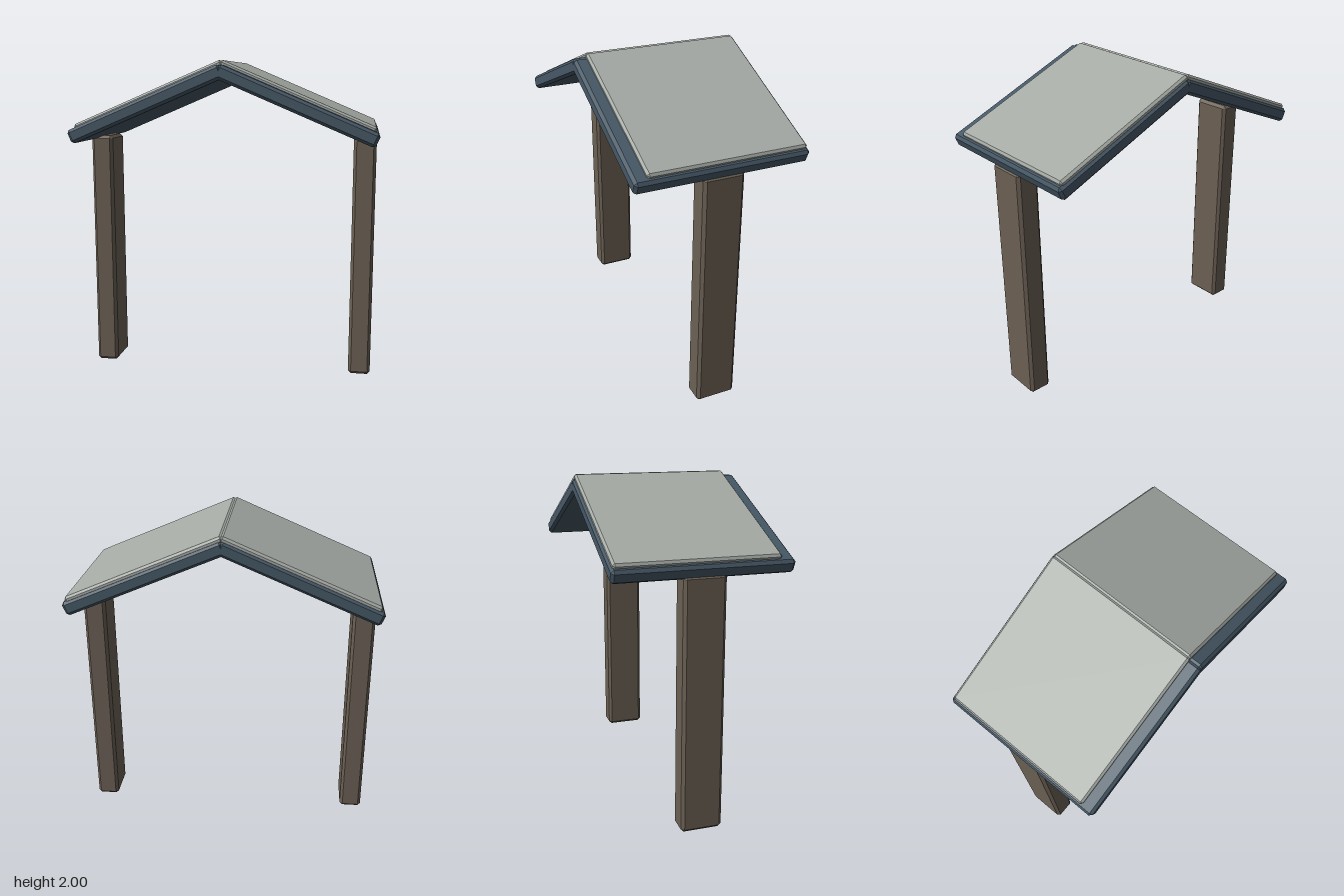
import * as THREE from 'three';
import { ConvexGeometry } from 'three/addons/geometries/ConvexGeometry.js';

const material = (color) => new THREE.MeshStandardMaterial({ color, flatShading: true });

// Box with all edges chamfered by c, centred on its own origin
function chamferBox(w, h, d, c) {
  const half = [w / 2, h / 2, d / 2];
  const points = [];
  for (const sx of [-1, 1]) for (const sy of [-1, 1]) for (const sz of [-1, 1]) {
    for (let outer = 0; outer < 3; outer++) {
      const p = half.map((v, i) => (i === outer ? v : v - c));
      points.push(new THREE.Vector3(sx * p[0], sy * p[1], sz * p[2]));
    }
  }
  return new ConvexGeometry(points);
}

export function createModel() {
  const model = new THREE.Group();
  const wood = material(0x6b6054);
  const slate = material(0x465866);
  const sheet = material(0xa5aaa5);
  const pitch = THREE.MathUtils.degToRad(23);

  // Sloping panel whose upper inner edge lies on the ridge line at height y
  function addPanel(name, side, y, length, thickness, zMin, zMax, chamfer, mat) {
    const geometry = chamferBox(length, thickness, zMax - zMin, chamfer);
    geometry.translate(side * length / 2, -thickness / 2, (zMin + zMax) / 2);
    const panel = new THREE.Mesh(geometry, mat);
    panel.name = name;
    panel.position.y = y;
    panel.rotation.z = -side * pitch;
    model.add(panel);
  }

  for (const [label, side] of [['left', 1], ['right', -1]]) {
    // Upright post
    const post = new THREE.Mesh(chamferBox(0.14, 1.53, 0.25, 0.018), wood);
    post.name = label + 'Post';
    post.position.set(side * 0.848, 0.765, 0);
    model.add(post);

    // Roof slab, and the thinner covering set back from its front edge
    addPanel(label + 'RoofSlab', side, 1.98, 1.017, 0.086, -0.527, 0.527, 0.017, slate);
    addPanel(label + 'RoofCover', side, 2.006, 0.998, 0.04, -0.515, 0.45, 0.013, sheet);
  }
  return model;
}
